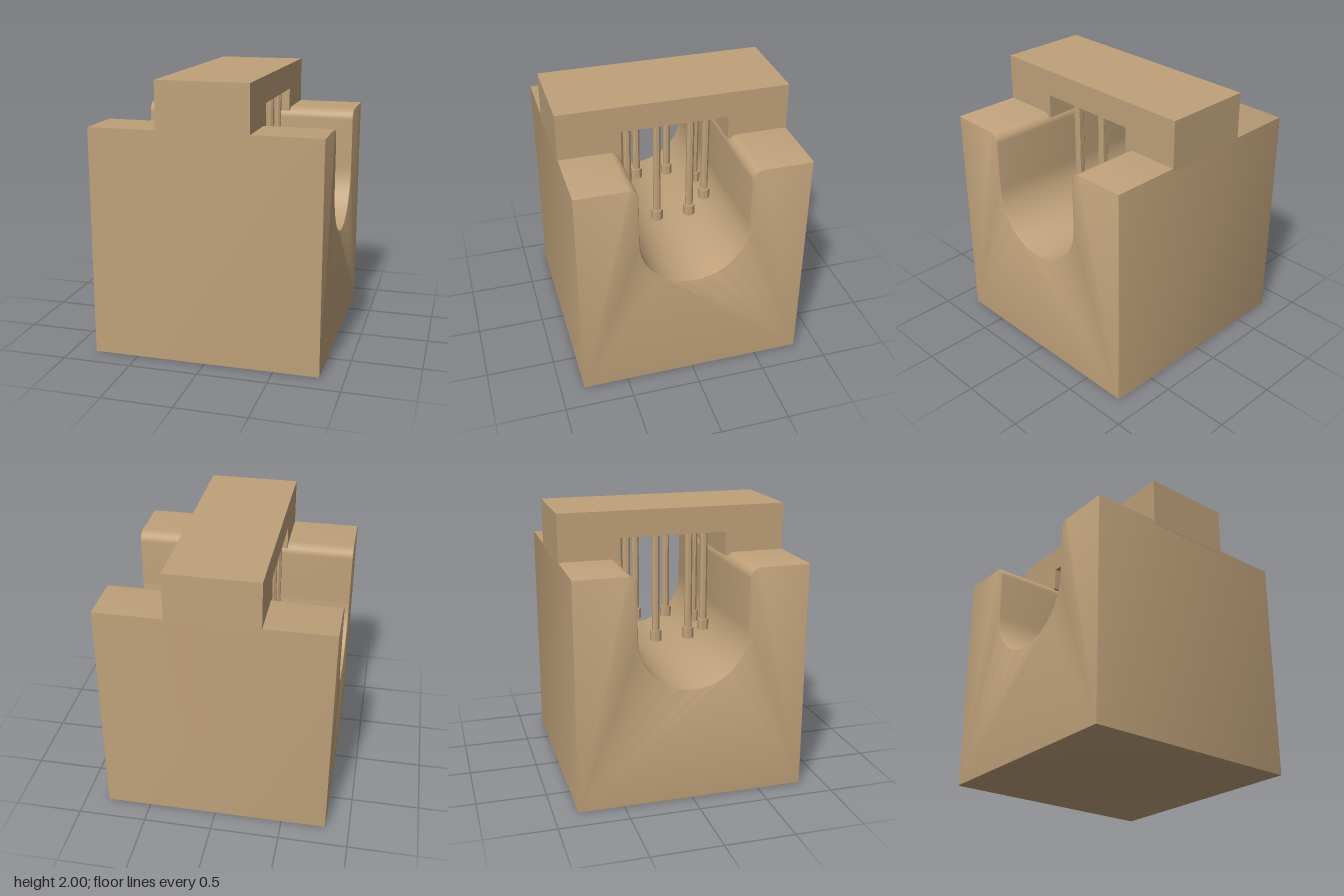
import * as THREE from 'three';
import { toCreasedNormals } from 'three/addons/utils/BufferGeometryUtils.js';

const W = 0.828;    // half width of the block
const TOP = 1.66;   // block height
const R = 0.393;    // channel radius
const FILLET = 0.075;
const EDGE = 0.008; // softened outer edges

// Extrudes a z/y profile along x, centred on x = 0
function extrudeAlongX(shape, width, bevel = 0) {
  const g = new THREE.ExtrudeGeometry(shape, {
    depth: width - 2 * bevel, curveSegments: 24,
    bevelEnabled: bevel > 0, bevelThickness: bevel, bevelSize: bevel,
    bevelOffset: -bevel, bevelSegments: 2,
  });
  g.translate(0, 0, -(width - 2 * bevel) / 2);
  g.rotateY(-Math.PI / 2);
  return toCreasedNormals(g, 0.6);
}

// Block outline with a U-shaped channel and rounded lips
function blockShape() {
  const s = new THREE.Shape();
  s.moveTo(-W, 0);
  s.lineTo(W, 0);
  s.lineTo(W, TOP);
  s.lineTo(R + FILLET, TOP);
  s.absarc(R + FILLET, TOP - FILLET, FILLET, Math.PI / 2, Math.PI, false);
  s.lineTo(R, 0.83 + R);
  s.absarc(0, 0.83 + R, R, 0, -Math.PI, true);
  s.lineTo(-R, TOP - FILLET);
  s.absarc(-R - FILLET, TOP - FILLET, FILLET, 0, Math.PI / 2, false);
  s.lineTo(-W, TOP);
  s.closePath();
  return s;
}

// Bridge outline: beam on two legs
function bridgeShape() {
  const low = 1.635, under = 1.81, inner = 0.39, outer = 0.83;
  return new THREE.Shape([
    [-outer, low], [-inner, low], [-inner, under], [inner, under],
    [inner, low], [outer, low], [outer, 2], [-outer, 2],
  ].map(([z, y]) => new THREE.Vector2(z, y)));
}

export function createModel() {
  const model = new THREE.Group();
  const tan = new THREE.MeshStandardMaterial({ color: 0xbfa17a });
  tan.name = 'tan';

  const add = (parent, name, geometry) => {
    const mesh = new THREE.Mesh(geometry, tan);
    mesh.name = name;
    parent.add(mesh);
    return mesh;
  };

  add(model, 'channelBlock', extrudeAlongX(blockShape(), 2 * W, EDGE));
  add(model, 'bridge', extrudeAlongX(bridgeShape(), 0.66));

  // Ring of eight pins hanging from the bridge
  const rodGeometry = toCreasedNormals(new THREE.CylinderGeometry(0.028, 0.028, 0.72, 8), 0.4);
  const footGeometry = toCreasedNormals(new THREE.CylinderGeometry(0.043, 0.043, 0.08, 8), 0.4);
  for (let i = 0; i < 8; i++) {
    const a = (i + 0.5) * Math.PI / 4;
    const pin = new THREE.Group();
    pin.name = 'pin' + (i + 1);
    pin.position.set(0.32 * Math.cos(a), 0, 0.32 * Math.sin(a));
    pin.rotation.y = -a;
    add(pin, 'rod', rodGeometry).position.y = 1.455;
    add(pin, 'foot', footGeometry).position.y = 1.07;
    model.add(pin);
  }
  return model;
}
